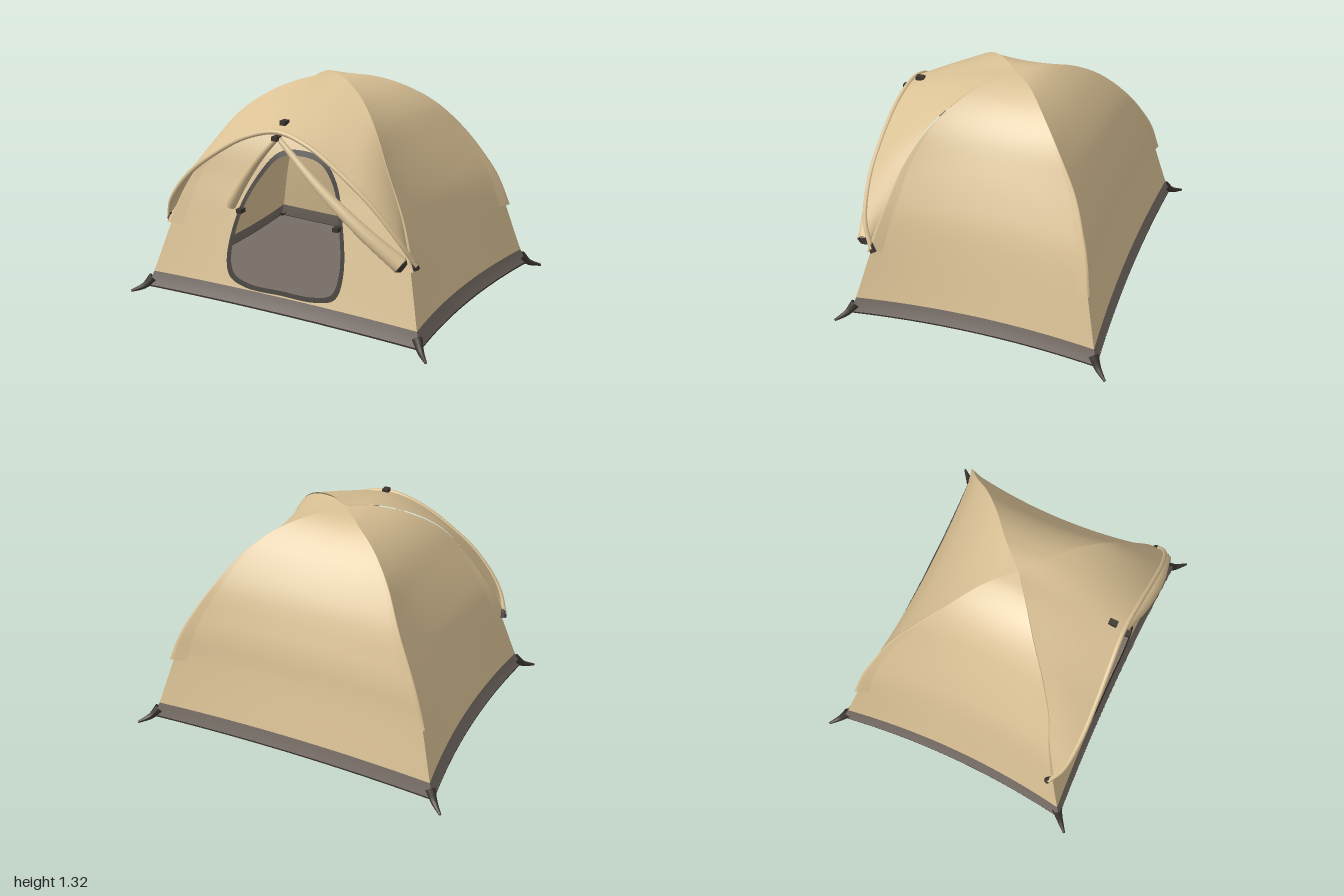
import * as THREE from 'three';

const V = (x, y, z) => new THREE.Vector3(x, y, z);
const PEAK_Z = 0.04, BAND_TOP = 0.125;

// Corner-pole profile: height, half width, front z, back z
const PROFILE = [
  [0.04, 0.925, 0.755, -0.755], [0.125, 0.89, 0.725, -0.73], [0.43, 0.805, 0.645, -0.66],
  [0.6, 0.75, 0.6, -0.63], [0.73, 0.69, 0.56, -0.59], [0.92, 0.58, 0.5, -0.507],
  [1.1, 0.455, 0.4, -0.373], [1.22, 0.31, 0.275, -0.24], [1.29, 0.145, 0.15, -0.107],
  [1.31, 0, PEAK_Z, PEAK_Z],
];
const poleCurve = (k) => new THREE.CatmullRomCurve3(
  PROFILE.map((p) => V(p[1], p[0], p[k])), false, 'catmullrom', 0.5);
const frontPole = poleCurve(2), backPole = poleCurve(3);
const ROWS = Array.from({ length: 271 }, (_, i) => {
  const a = frontPole.getPoint(i / 270), b = backPole.getPoint(i / 270);
  return { y: a.y, w: a.x, f: a.z, b: b.z };
});

// Interpolated pole row where a key (y, or -w) reaches a value
function rowAt(key, value) {
  let i = 1;
  while (i < ROWS.length - 1 && key(ROWS[i]) < value) i++;
  const p = ROWS[i - 1], q = ROWS[i], d = key(q) - key(p);
  const t = THREE.MathUtils.clamp(d ? (value - key(p)) / d : 0, 0, 1);
  const mix = (n) => p[n] + (q[n] - p[n]) * t;
  return { y: mix('y'), w: mix('w'), f: mix('f'), b: mix('b') };
}
const rowAtY = (y) => rowAt((r) => r.y, y);
const rowAtW = (w) => rowAt((r) => -r.w, -w);

// Point on a wall; s runs -1..1 between its two poles, cloth sags between them
function wallPoint(side, s, y) {
  const r = rowAtY(y), bow = 1 - s * s;
  if (side === 'front' || side === 'back') {
    const z = side === 'front' ? r.f : r.b;
    return V(s * r.w, y, PEAK_Z + (z - PEAK_Z) * (1 - (0.04 + 0.045 * y) * bow));
  }
  const x = r.w * (1 - (0.06 + 0.035 * y) * bow);
  return V(side === 'right' ? -x : x, y, r.b + (r.f - r.b) * (s + 1) / 2);
}
function frontWallPoint(x, y) {
  const s = THREE.MathUtils.clamp(x / Math.max(rowAtY(y).w, 1e-3), -1, 1);
  return V(x, y, wallPoint('front', s, y).z);
}

// Surface from a rule f(u, v), u and v in 0..1
function sheet(f, nu, nv) {
  const pos = [], idx = [];
  for (let j = 0; j <= nv; j++) for (let i = 0; i <= nu; i++) pos.push(...f(i / nu, j / nv).toArray());
  for (let j = 0; j < nv; j++) for (let i = 0; i < nu; i++) {
    const a = j * (nu + 1) + i, b = a + nu + 1;
    idx.push(a, a + 1, b, a + 1, b + 1, b);
  }
  const g = new THREE.BufferGeometry();
  g.setAttribute('position', new THREE.Float32BufferAttribute(pos, 3));
  g.setIndex(idx);
  g.computeVertexNormals();
  return g;
}

// Tapered roll along a path
function roll(points, r0, r1, n = 24) {
  const c = new THREE.CatmullRomCurve3(points), fr = c.computeFrenetFrames(n);
  return sheet((u, v) => {
    const i = Math.round(v * n), a = u * Math.PI * 2, r = r0 + (r1 - r0) * v;
    return c.getPointAt(v).addScaledVector(fr.normals[i], Math.cos(a) * r)
      .addScaledVector(fr.binormals[i], Math.sin(a) * r);
  }, 10, n);
}

export function createModel() {
  const tent = new THREE.Group();
  tent.name = 'tent';
  const material = (name, color) => {
    const m = new THREE.MeshStandardMaterial({ color, side: THREE.DoubleSide });
    m.name = name;
    return m;
  };
  const canvas = material('tan canvas', 0xdac195);
  const grey = material('grey groundsheet', 0x766c65);
  const dark = material('dark trim', 0x3b352f);
  const add = (name, geometry, mat) => {
    const m = new THREE.Mesh(geometry, mat);
    m.name = name;
    tent.add(m);
    return m;
  };

  // Walls, groundsheet band and bottom edge
  for (const side of ['left', 'right', 'back', 'front']) {
    if (side !== 'front') {
      add(side + 'Wall', sheet((u, v) =>
        wallPoint(side, u * 2 - 1, frontPole.getPoint((1 + 7.98 * v) / 9).y), 24, 48), canvas);
    }
    add(side + 'Band', sheet((u, v) =>
      wallPoint(side, u * 2 - 1, 0.04 + (BAND_TOP - 0.04) * v), 24, 3), grey);
    add(side + 'BottomEdge', sheet((u, v) =>
      wallPoint(side, u * 2 - 1, 0.04).setY(0.032 + 0.01 * v).multiply(V(1.002, 1, 1.002)), 24, 1), dark);
  }
  add('peakCap', sheet((u, v) => {
    const a = u * Math.PI * 2, r = 0.012 * v;
    return V(Math.cos(a) * r, 1.311 - r * 0.1, PEAK_Z + Math.sin(a) * r);
  }, 12, 1), canvas);
  add('floor', sheet((u, v) => {
    const a = wallPoint('back', u * 2 - 1, 0.04), b = wallPoint('front', u * 2 - 1, 0.04);
    const z = a.z + (b.z - a.z) * v, s = v * 2 - 1;
    return V(a.x * (1 - 0.06 * (1 - s * s)), 0.036, z);
  }, 20, 20), grey);

  // Door outline, from the bottom middle round its left side
  const doorCurve = new THREE.CatmullRomCurve3([
    [0, 0.155], [0.22, 0.16], [0.34, 0.2], [0.372, 0.33], [0.33, 0.58], [0.25, 0.8], [0.15, 0.9], [0, 0.925],
    [-0.13, 0.9], [-0.235, 0.78], [-0.335, 0.57], [-0.375, 0.3], [-0.34, 0.2], [-0.23, 0.157],
  ].map(([x, y]) => V(x, y, 0)), true);
  const doorPoints = doorCurve.getPoints(400), MID = 0.5;

  // Front wall: spokes from the door outline to the poles and band
  const rim = [];
  for (let i = 0; i < 30; i++) rim.push(V((i / 15 - 1) * rowAtY(BAND_TOP).w, BAND_TOP, 0));
  for (let i = 0; i <= 40; i++) rim.push(frontPole.getPoint((1 + i / 5) / 9).setZ(0));
  for (let i = 39; i >= 0; i--) rim.push(frontPole.getPoint((1 + i / 5) / 9).multiply(V(-1, 1, 0)));
  const inner = rim.map((p) => {
    const dir = V(p.x, p.y - MID, 0).normalize();
    let best = doorPoints[0], score = -2;
    for (const d of doorPoints) {
      const k = (d.x * dir.x + (d.y - MID) * dir.y) / Math.hypot(d.x, d.y - MID);
      if (k > score) { score = k; best = d; }
    }
    return best;
  });
  const last = rim.length - 1;
  add('frontWall', sheet((u, v) => {
    const i = Math.round(u * last);
    const p = inner[i].clone().lerp(rim[i], v);
    return frontWallPoint(p.x, p.y);
  }, last, 10), canvas);
  add('doorTrim', sheet((u, v) => {
    const d = doorCurve.getPoint(u % 1), k = 0.975 + 0.075 * v;
    const p = frontWallPoint(d.x * k, MID + (d.y - MID) * k);
    p.z += 0.008;
    return p;
  }, 96, 1), dark);

  // Pole sleeves folded over the four corners
  for (const sx of [-1, 1]) for (const end of ['back', 'front']) {
    add(end + 'PoleSleeve', sheet((u, v) => {
      const c = u * 2 - 1, y = 0.43 + 0.75 * v, d = 1 - 0.11 * Math.abs(c) * (1 - 0.6 * v);
      const p = c < 0 ? wallPoint(end, sx * d, y)
        : wallPoint(sx > 0 ? 'left' : 'right', end === 'front' ? d : -d, y);
      const k = 1.004 + 0.022 * (1 - Math.abs(c)) * (1 - v);
      return V(p.x * k, y, PEAK_Z + (p.z - PEAK_Z) * k);
    }, 8, 24), canvas);
  }

  // Awning stretched from the front poles to an arched edge
  const half = [[0.83, 0.46, 0.63], [0.76, 0.6, 0.69], [0.6, 0.79, 0.72], [0.4, 0.945, 0.72], [0.2, 1.06, 0.71]];
  const edgePoints = [...half.map(([x, y, z]) => V(-x, y, z)), V(0, 1.11, 0.7),
    ...half.slice().reverse().map(([x, y, z]) => V(x, y, z))];
  const edge = new THREE.CatmullRomCurve3(edgePoints);
  add('awning', sheet((u, v) => {
    const e = edge.getPoint(u), r = rowAtW(Math.abs(e.x) * 0.97);
    const p = V(Math.sign(e.x) * r.w, r.y + 0.006, r.f + 0.004).lerp(e, v);
    p.y += 0.02 * Math.sin(Math.PI * v) * (1 - Math.abs(e.x));
    return p;
  }, 60, 12), canvas);
  add('awningHem', roll(edgePoints, 0.014, 0.014, 60), canvas);
  for (const sx of [-1, 1]) {
    add('awningTip', roll([V(sx * 0.81, 0.5, 0.65), V(sx * 0.82, 0.475, 0.635), V(sx * 0.828, 0.44, 0.62)],
      0.012, 0.02, 6), dark);
  }

  // Rolled door flaps hanging from the awning's top
  add('leftFlapRoll', roll([V(0, 1.08, 0.7), V(0.28, 0.85, 0.735), V(0.55, 0.64, 0.73), V(0.77, 0.47, 0.69)],
    0.015, 0.05), canvas);
  add('leftFlapEnd', roll([V(0.765, 0.474, 0.692), V(0.775, 0.466, 0.689), V(0.785, 0.458, 0.686)],
    0.051, 0.03, 4), dark);
  add('rightFlapRoll', roll([V(0, 1.08, 0.7), V(-0.15, 0.93, 0.66), V(-0.28, 0.77, 0.63), V(-0.39, 0.6, 0.62)],
    0.012, 0.035), canvas);

  // Toggles at the awning top and beside the door
  for (const [x, y, z] of [[0, 1.08, 0.715], [0, 1.15, 0.63], [0.32, 0.57, 0.6], [-0.33, 0.57, 0.6]]) {
    add('toggle', new THREE.BoxGeometry(0.035, 0.025, 0.05), dark).position.set(x, y, z);
  }

  // Pegged corner tabs
  for (const sx of [-1, 1]) for (const sz of [-1, 1]) {
    add('cornerTab', roll([V(sx * 0.895, 0.085, sz * 0.73), V(sx * 0.935, 0.035, sz * 0.768),
      V(sx * 0.995, 0.007, sz * 0.825)], 0.03, 0.007, 10), dark);
  }
  return tent;
}
